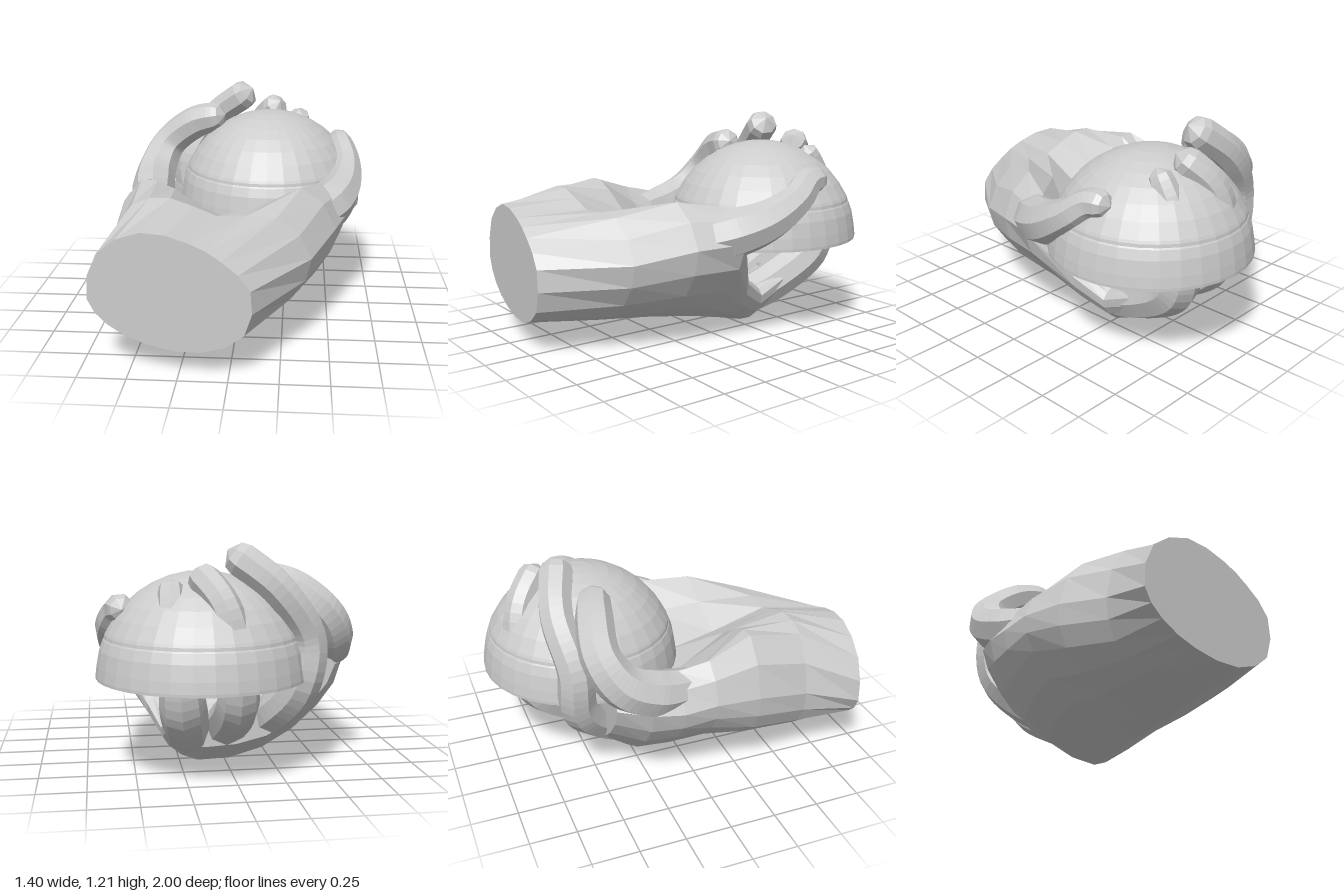
import * as THREE from 'three';

const material = new THREE.MeshStandardMaterial({ color: 0xcccccc, flatShading: true, side: THREE.DoubleSide });

function addMesh(group, name, geometry) {
  const mesh = new THREE.Mesh(geometry, material);
  mesh.name = name;
  group.add(mesh);
  return mesh;
}

// Tapered tube with a rounded tip; each point is [x, y, z, radius]
function taperedLimb(points, rings = 32, sides = 8) {
  const curve = new THREE.CatmullRomCurve3(points.map(p => new THREE.Vector3(p[0], p[1], p[2])));
  const geometry = new THREE.TubeGeometry(curve, rings, 1, sides);
  const length = curve.getLength();
  const tipRadius = points[points.length - 1][3];
  const position = geometry.attributes.position;
  const vertex = new THREE.Vector3();
  for (let i = 0; i <= rings; i++) {
    const u = i / rings;
    const centre = curve.getPointAt(u);
    const t = curve.getUtoTmapping(u) * (points.length - 1);
    const k = Math.min(Math.floor(t), points.length - 2);
    let radius = THREE.MathUtils.lerp(points[k][3], points[k + 1][3], t - k);
    const toEnd = (1 - u) * length / tipRadius;
    if (toEnd < 1) radius *= Math.sqrt(1 - (1 - toEnd) ** 2);
    for (let j = 0; j <= sides; j++) {
      const n = i * (sides + 1) + j;
      vertex.fromBufferAttribute(position, n).sub(centre).multiplyScalar(radius).add(centre);
      position.setXYZ(n, vertex.x, vertex.y, vertex.z);
    }
  }
  geometry.computeVertexNormals();
  return geometry;
}

// Closed skin through cross-sections; each is { z, tilt, ring of [x, y] }
function loft(sections, sides) {
  const positions = [], indices = [];
  const centres = [];
  for (const { z, tilt = 0, ring } of sections) {
    const curve = new THREE.CatmullRomCurve3(ring.map(([x, y]) => new THREE.Vector3(x, y, z + tilt * (x + 0.3))), true);
    const centre = new THREE.Vector3();
    for (let j = 0; j < sides; j++) {
      const p = curve.getPoint(j / sides);
      positions.push(p.x, p.y, p.z);
      centre.addScaledVector(p, 1 / sides);
    }
    centres.push(centre);
  }
  const last = sections.length - 1;
  for (let i = 0; i < last; i++) {
    for (let j = 0; j < sides; j++) {
      const a = i * sides + j, b = i * sides + (j + 1) % sides;
      indices.push(a, a + sides, b, b, a + sides, b + sides);
    }
  }
  const front = positions.length / 3, back = front + 1;
  positions.push(...centres[0].toArray(), ...centres[last].toArray());
  for (let j = 0; j < sides; j++) {
    const k = (j + 1) % sides;
    indices.push(front, j, k, back, last * sides + k, last * sides + j);
  }
  const geometry = new THREE.BufferGeometry();
  geometry.setAttribute('position', new THREE.Float32BufferAttribute(positions, 3));
  geometry.setIndex(indices);
  geometry.computeVertexNormals();
  return geometry;
}

export function createModel() {
  const model = new THREE.Group();
  model.name = 'handHoldingDome';

  // Open dome shell with a fine groove and a thin rim
  const profile = [[0.54, 0.012], [0.542, 0], [0.552, 0], [0.552, 0.015], [0.545, 0.07], [0.53, 0.15],
    [0.512, 0.2], [0.506, 0.208], [0.503, 0.225], [0.496, 0.24]].map(([r, y]) => new THREE.Vector2(r, y));
  for (let i = 1; i <= 7; i++) {
    const a = THREE.MathUtils.lerp(0.45, Math.PI / 2, i / 7);
    profile.push(new THREE.Vector2(Math.max(0, 0.55 * Math.cos(a)), 0.55 * Math.sin(a)));
  }
  const dome = addMesh(model, 'dome', new THREE.LatheGeometry(profile, 32));
  dome.position.set(0.145, 0.508, -0.445);

  // Wrist and cupped palm, from the cut wrist to the webs between the fingers
  const sections = [
    { z: 0.95, tilt: 0.12, ring: [[-0.7, 0.38], [-0.6, 0.25], [-0.4, 0.16], [-0.13, 0.14], [0.08, 0.25],
      [0.11, 0.48], [-0.03, 0.62], [-0.18, 0.7], [-0.42, 0.74], [-0.64, 0.62]] },
    { z: 0.6, ring: [[-0.64, 0.46], [-0.58, 0.25], [-0.4, 0.14], [0, 0.12], [0.29, 0.27],
      [0.4, 0.5], [0.22, 0.72], [-0.08, 0.72], [-0.32, 0.81], [-0.52, 0.77]] },
    { z: 0.3, ring: [[-0.68, 0.52], [-0.62, 0.3], [-0.35, 0.13], [0.1, 0.11], [0.42, 0.3],
      [0.53, 0.56], [0.34, 0.79], [-0.04, 0.6], [-0.34, 0.77], [-0.52, 0.82]] },
    { z: 0.05, ring: [[-0.69, 0.54], [-0.62, 0.36], [-0.35, 0.15], [0.15, 0.08], [0.44, 0.29],
      [0.61, 0.58], [0.46, 0.75], [0.1, 0.44], [-0.34, 0.52], [-0.56, 0.74]] },
    { z: -0.13, ring: [[-0.68, 0.52], [-0.58, 0.32], [-0.3, 0.11], [0.15, 0.04], [0.36, 0.16],
      [0.42, 0.3], [0.32, 0.33], [0.1, 0.27], [-0.35, 0.43], [-0.54, 0.7]] },
    { z: -0.29, ring: [[-0.65, 0.53], [-0.52, 0.29], [-0.21, 0.06], [0.15, 0], [0.31, 0.09],
      [0.35, 0.19], [0.27, 0.25], [0.06, 0.22], [-0.32, 0.36], [-0.52, 0.68]] },
    { z: -0.46, ring: [[-0.57, 0.55], [-0.43, 0.33], [-0.2, 0.17], [0.12, 0.12], [0.3, 0.16],
      [0.34, 0.26], [0.26, 0.31], [0.07, 0.29], [-0.25, 0.38], [-0.48, 0.62]] },
  ];
  addMesh(model, 'palmAndWrist', loft(sections, 20));

  // Thumb along one side, fingers curling up from beneath onto the dome
  const digits = {
    thumb: [[0.34, 0.56, 0.26, 0.12], [0.5, 0.62, 0.04, 0.135], [0.575, 0.68, -0.13, 0.115],
      [0.6, 0.775, -0.3, 0.09], [0.57, 0.86, -0.42, 0.08], [0.56, 0.87, -0.54, 0.068]],
    indexFinger: [[0.2, 0.14, -0.24, 0.11], [0.23, 0.23, -0.48, 0.12], [0.27, 0.39, -0.72, 0.12],
      [0.29, 0.58, -0.77, 0.105], [0.32, 0.85, -0.72, 0.075], [0.32, 1.03, -0.62, 0.063]],
    middleFinger: [[0.02, 0.16, -0.24, 0.11], [0.01, 0.26, -0.48, 0.115], [0, 0.42, -0.74, 0.11],
      [0.01, 0.6, -0.8, 0.095], [0.07, 0.9, -0.79, 0.08], [0.2, 1.08, -0.64, 0.085]],
    ringFinger: [[-0.18, 0.19, -0.22, 0.11], [-0.25, 0.3, -0.44, 0.11], [-0.35, 0.48, -0.6, 0.105],
      [-0.38, 0.72, -0.62, 0.095], [-0.22, 0.97, -0.66, 0.09], [0.03, 1.17, -0.58, 0.095]],
    littleFinger: [[-0.52, 0.58, -0.05, 0.11], [-0.555, 0.61, -0.25, 0.13], [-0.555, 0.69, -0.42, 0.12],
      [-0.49, 0.83, -0.51, 0.105], [-0.32, 0.97, -0.49, 0.1], [-0.13, 1.03, -0.43, 0.083]],
  };
  for (const [name, points] of Object.entries(digits)) addMesh(model, name, taperedLimb(points));

  return model;
}
